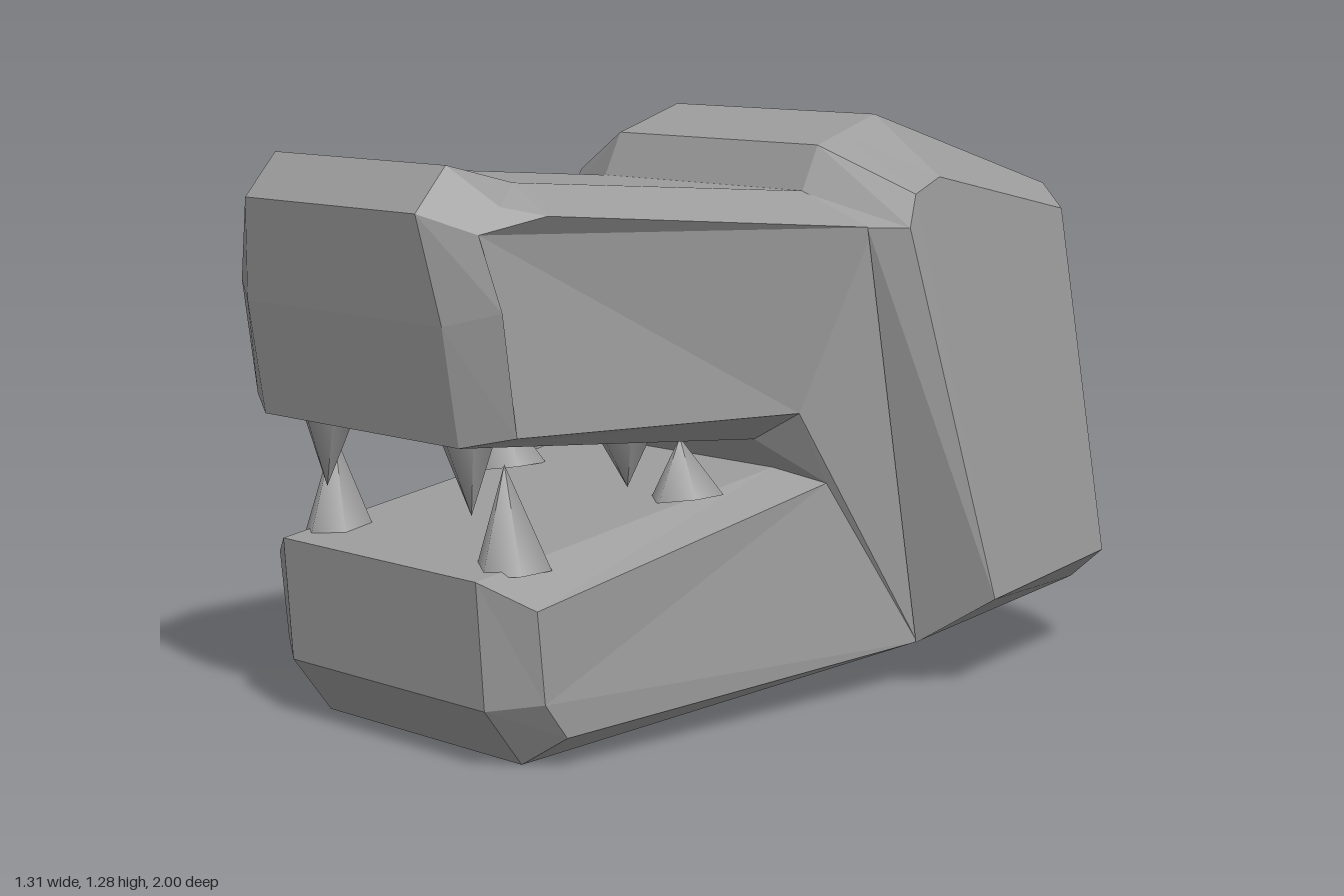
import * as THREE from 'three';

const COLOR = 0x9c9c9c;
const V = (x, y, z) => new THREE.Vector3(x, y, z);
const flip = (p) => V(-p.x, p.y, p.z);
const material = (flatShading) => new THREE.MeshStandardMaterial({ color: COLOR, flatShading, side: THREE.DoubleSide });

// Adds a triangle, leaving out collapsed ones
function tri(out, a, b, c) {
  if (b.clone().sub(a).cross(c.clone().sub(a)).length() > 1e-6) out.push(a, b, c);
}

function quad(out, a, b, c, d) {
  tri(out, a, b, c);
  tri(out, a, c, d);
}

// Mesh from middle faces plus one side's faces and their mirror image
function mirroredMesh(middle, side, name) {
  const all = [...middle, ...side];
  for (let i = 0; i < side.length; i += 3) all.push(flip(side[i]), flip(side[i + 2]), flip(side[i + 1]));
  const geo = new THREE.BufferGeometry().setFromPoints(all);
  geo.computeVertexNormals();
  const mesh = new THREE.Mesh(geo, material(true));
  mesh.name = name;
  return mesh;
}

// Bevelled slab: a middle profile, an inset side profile and side caps
function bevelledSlab(pairs, name) {
  const inner = pairs.map(([p]) => V(...p));
  const outer = pairs.map(([, p]) => V(...p));
  const middle = [], side = [];
  inner.forEach((p, i) => {
    const j = (i + 1) % inner.length;
    quad(middle, flip(p), flip(inner[j]), inner[j], p);
    quad(side, p, inner[j], outer[j], outer[i]);
  });
  const flat = outer.map((p) => new THREE.Vector2(-p.z, p.y));
  for (const [a, b, c] of THREE.ShapeUtils.triangulateShape(flat, [])) {
    const ccw = THREE.ShapeUtils.area([flat[a], flat[b], flat[c]]) > 0;
    tri(side, outer[a], outer[ccw ? b : c], outer[ccw ? c : b]);
  }
  return mirroredMesh(middle, side, name);
}

// Loft through half rings, each listed from the top edge round to the underside
function loftHalfRings(halves, name) {
  const rings = halves.map((h) => h.map((p) => V(...p)));
  const middle = [], side = [], last = rings[0].length - 1;
  for (let r = 0; r + 1 < rings.length; r++) {
    const A = rings[r], B = rings[r + 1];
    for (let i = 0; i < last; i++) quad(side, A[i], A[i + 1], B[i + 1], B[i]);
    quad(middle, flip(A[0]), A[0], B[0], flip(B[0]));
    quad(middle, A[last], flip(A[last]), flip(B[last]), B[last]);
  }
  // back face
  const end = rings[rings.length - 1];
  quad(middle, end[0], end[last], flip(end[last]), flip(end[0]));
  return mirroredMesh(middle, side, name);
}

// Pointed tooth from a base centre to a tip
function tooth(base, tip, radius, name) {
  const axis = tip.clone().sub(base), h = axis.length();
  const mesh = new THREE.Mesh(new THREE.ConeGeometry(radius, h, 6).translate(0, h / 2, 0), material(false));
  mesh.position.copy(base);
  mesh.quaternion.setFromUnitVectors(V(0, 1, 0), axis.normalize());
  mesh.name = name;
  return mesh;
}

export function createModel() {
  const model = new THREE.Group();
  model.name = 'beastHead';

  // Snout and lower jaw around the open mouth: middle edge point, side edge point
  model.add(bevelledSlab([
    [[0.31, 1.12, -0.1], [0.475, 1.05, -0.12]],
    [[0.31, 1.19, 0.78], [0.41, 1.13, 0.78]],
    [[0.27, 1.23, 0.92], [0.36, 1.15, 0.86]],
    [[0.27, 1.14, 1.0], [0.37, 1.1, 0.925]],
    [[0.31, 0.92, 0.97], [0.415, 0.95, 0.905]],
    [[0.31, 0.675, 0.93], [0.415, 0.7, 0.87]],
    [[0.31, 0.59, 0.08], [0.415, 0.655, 0.05]],
    [[0.31, 0.52, 0.02], [0.415, 0.49, -0.04]],
    [[0.31, 0.4, 0.89], [0.415, 0.345, 0.82]],
    [[0.31, 0.13, 0.87], [0.415, 0.15, 0.8]],
    [[0.31, 0, 0.77], [0.415, 0.07, 0.74]],
    [[0.31, 0.08, -0.3], [0.47, 0.1, -0.29]],
  ], 'snoutAndJaw'));

  // Flared skull behind the snout
  const sill = [0.655, 0.22, -0.335];
  const under = [[0.47, 0.1, -0.29], [0.31, 0.08, -0.3]];
  const backTop = [0.31, 1.09, -0.93], backSide = [0.42, 1.04, -0.86];
  const backLow = [0.41, 0.14, -0.94], backBase = [0.31, 0.13, -1.0];
  model.add(loftHalfRings([
    [[0.31, 1.12, -0.07], [0.475, 1.05, -0.1], [0.475, 0.1, -0.28], ...under],
    [[0.31, 1.22, -0.12], [0.54, 1.05, -0.165], sill, ...under],
    [[0.31, 1.245, -0.2], [0.525, 1.12, -0.2], sill, ...under],
    [[0.31, 1.28, -0.31], [0.5, 1.15, -0.31], sill, ...under],
    [backTop, backSide, [0.56, 0.24, -0.86], backLow, backBase],
    [backTop, backSide, backLow, backLow, backBase],
    [backTop, backTop, backBase, backBase, backBase],
  ], 'skull'));

  // Teeth, the lower ones leaning slightly to the right
  for (const [side, s] of [['left', 1], ['right', -1]]) {
    model.add(
      tooth(V(s * 0.278, 0.395, 0.76), V(s * 0.274 - 0.02, 0.615, 0.76), 0.083, side + 'LowerFrontTooth'),
      tooth(V(s * 0.28, 0.48, 0.26), V(s * 0.28 - 0.02, 0.61, 0.26), 0.083, side + 'LowerBackTooth'),
      tooth(V(s * 0.222, 0.68, 0.83), V(s * 0.232, 0.515, 0.83), 0.062, side + 'UpperFrontTooth'),
      tooth(V(s * 0.222, 0.64, 0.39), V(s * 0.232, 0.515, 0.39), 0.067, side + 'UpperBackTooth'),
    );
  }
  return model;
}
